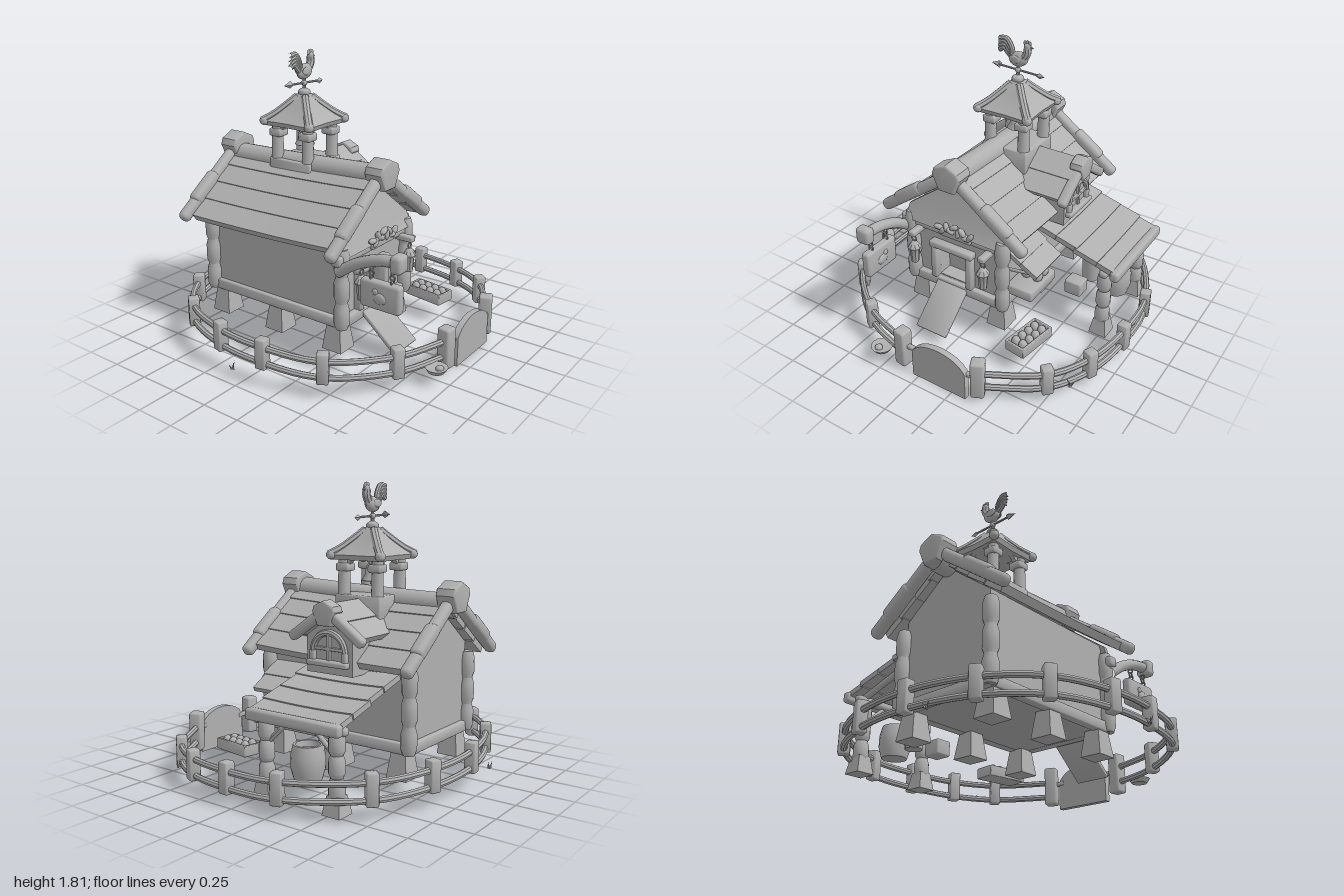
import * as THREE from 'three';
import { toCreasedNormals } from 'three/addons/utils/BufferGeometryUtils.js';
import { RoundedBoxGeometry } from 'three/addons/geometries/RoundedBoxGeometry.js';

const clay = new THREE.MeshStandardMaterial({ color: 0xb0b0b0 });
clay.name = 'clay grey';
const V = (x, y, z) => new THREE.Vector3(x, y, z);
const outline = pts => pts.map(q => new THREE.Vector2(...q));

function add(parent, name, geo, x = 0, y = 0, z = 0) {
  const m = new THREE.Mesh(toCreasedNormals(geo, 0.65), clay);
  m.name = name;
  m.position.set(x, y, z);
  parent.add(m);
  return m;
}
function group(parent, name, x = 0, y = 0, z = 0) {
  const g = new THREE.Group();
  g.name = name;
  g.position.set(x, y, z);
  parent.add(g);
  return g;
}
const block = (p, name, w, h, d, x, y, z, r = 0.012) =>
  add(p, name, new RoundedBoxGeometry(w, h, d, 2, r), x, y, z);
const ball = (p, name, rx, ry, rz, x, y, z) =>
  add(p, name, new THREE.SphereGeometry(1, 14, 10).scale(rx, ry, rz), x, y, z);
const tube = (p, name, pts, r, seg = 16, sides = 8) =>
  add(p, name, new THREE.TubeGeometry(new THREE.CatmullRomCurve3(pts), seg, r, sides));
const lathe = (p, name, pts, sides, x, y, z) =>
  add(p, name, new THREE.LatheGeometry(outline(pts), sides), x, y, z);

// squared beam with rounded edges between two points
function beam(p, name, a, b, w, h, r = 0.02) {
  const geo = new RoundedBoxGeometry(w, h, a.distanceTo(b), 2, Math.min(r, w / 2.1, h / 2.1));
  const o = new THREE.Object3D();
  o.position.copy(a).lerp(b, 0.5);
  o.lookAt(b);
  o.updateMatrix();
  return add(p, name, geo.applyMatrix4(o.matrix));
}

// overlapping roof boards running along z, sagging at mid length and dropping towards the back
function boards(p, name, a, b, n, z0, z1, t, sag = 0, drop = 0) {
  const ang = Math.atan2(b[1] - a[1], b[0] - a[0]);
  const w = Math.hypot(b[0] - a[0], b[1] - a[1]) / n;
  for (let i = 0; i < n; i++) {
    const k = (i + 0.5) / n;
    const geo = new THREE.BoxGeometry(w * 1.1, t, z1 - z0 - (i % 2) * 0.015, 1, 1, 12);
    geo.rotateZ(ang + Math.sign(b[0] - a[0]) * 0.05);
    geo.translate(a[0] + (b[0] - a[0]) * k, a[1] + (b[1] - a[1]) * k, (z0 + z1) / 2);
    const q = geo.attributes.position;
    for (let j = 0; j < q.count; j++) {
      const u = (q.getZ(j) - z0) / (z1 - z0);
      q.setY(j, q.getY(j) - sag * 4 * u * (1 - u) - drop * (1 - u));
    }
    add(p, name, geo);
  }
}

// five-sided gable outline centred on x = 0
const gable = (hw, y0, eave, apex) =>
  new THREE.Shape(outline([[-hw, y0], [hw, y0], [hw, eave], [0, apex], [-hw, eave]]));
const extrude = (shape, depth) => new THREE.ExtrudeGeometry(shape, { depth, bevelEnabled: false, curveSegments: 16 });

// rounded keystone covering the joint of two barge boards
function keystone(p, name, size, depth, x, y, z) {
  const s = new THREE.Shape(outline([[-0.45, -0.8], [0.45, -0.8], [0.85, 0.1], [0.75, 0.4], [0, 0.75], [-0.75, 0.4], [-0.85, 0.1]].map(([u, v]) => [u * size, v * size])));
  const bevel = size * 0.15;
  const geo = new THREE.ExtrudeGeometry(s, { depth: depth - 2 * bevel, bevelSize: bevel, bevelThickness: bevel, bevelSegments: 3 });
  add(p, name, geo.translate(0, 0, bevel - depth / 2), x, y, z);
}

// stacked bulging post
function post(p, name, x, z, y0, y1, r) {
  const pts = [[0, y0]], n = 3, h = (y1 - y0) / n;
  for (let i = 0; i < n; i++) {
    const b = y0 + i * h;
    pts.push([r * 0.75, b], [r, b + h * 0.2], [r, b + h * 0.75], [r * 0.75, b + h]);
  }
  pts.push([0, y1]);
  lathe(p, name, pts, 12, x, 0, z);
}
const foot = (p, x, z, y0, y1, r = 0.085) =>
  add(p, 'footing', new THREE.CylinderGeometry(r * 0.68, r, y1 - y0, 4).rotateY(Math.PI / 4), x, (y0 + y1) / 2, z);

function house(root) {
  const g = group(root, 'house', -0.1, 0, 0);
  add(g, 'houseBody', extrude(gable(0.33, 0.25, 0.82, 1.07), 0.92), 0, 0, -0.68);
  const front = gable(0.33, 0.25, 0.82, 1.07);
  front.holes.push(new THREE.Path(outline([[-0.15, 0.32], [-0.15, 0.55], [0.08, 0.55], [0.08, 0.32]])));
  add(g, 'frontWall', extrude(front, 0.1), 0, 0, 0.24);
  // gable infill flaring forward at its foot
  const flare = extrude(gable(0.37, 0.71, 0.8, 1.08), 0.03);
  const q = flare.attributes.position;
  for (let i = 0; i < q.count; i++) if (q.getY(i) < 0.75) q.setZ(i, q.getZ(i) + 0.05);
  add(g, 'gableInfill', flare, 0, 0, 0.32);
  block(g, 'tieBeam', 0.72, 0.05, 0.07, 0, 0.69, 0.35);
  for (const z of [0.35, -0.68]) block(g, 'sill', 0.7, 0.07, 0.06, 0, 0.28, z);
  for (const s of [-1, 1]) {
    block(g, 'sideSill', 0.06, 0.07, 1.05, s * 0.33, 0.28, -0.16);
    for (const z of [0.36, -0.69]) post(g, 'cornerPost', s * 0.345, z, 0.25, 0.76, 0.048);
    for (const z of [0.3, -0.16, -0.62]) foot(g, s * 0.3, z, 0.09, 0.26, 0.1);
    // main roof
    boards(g, 'roofBoard', [0, 1.14], [s * 0.455, 0.79], 4, -0.74, 0.39, 0.05, 0.008, 0.03);
    for (const z of [0.4, -0.77]) {
      beam(g, 'bargeBoard', V(s * 0.03, 1.12, z), V(s * 0.53, 0.755, z), 0.075, 0.075, 0.03);
      beam(g, 'bargeBoardCap', V(s * 0.22, 0.99, z), V(s * 0.42, 0.845, z), 0.085, 0.085, 0.03);
    }
  }
  tube(g, 'ridgeBeam', [V(0, 1.125, 0.42), V(0, 1.1, -0.18), V(0, 1.085, -0.8)], 0.075, 16, 12);
  for (const z of [0.4, -0.77]) keystone(g, 'ridgeKeystone', 0.1, 0.13, 0.005, 1.145, z);
  // doorway and ramp
  for (const x of [-0.17, 0.1]) block(g, 'doorJamb', 0.045, 0.27, 0.06, x, 0.445, 0.36);
  block(g, 'doorLintel', 0.33, 0.045, 0.07, -0.035, 0.57, 0.36);
  beam(g, 'ramp', V(-0.035, 0.31, 0.34), V(-0.035, 0.07, 0.62), 0.23, 0.03, 0.008);
  // leafy garland over the door
  for (let i = 0; i < 9; i++) {
    const u = i / 4 - 1;
    const leaf = ball(g, 'garlandLeaf', 0.035, 0.018, 0.02, 0.02 + u * 0.12, 0.775 - 0.025 * (i % 2) - 0.03 * Math.abs(u), 0.41);
    leaf.rotation.z = i * 0.9;
  }
  block(g, 'garlandBoard', 0.24, 0.06, 0.03, 0.02, 0.715, 0.4);
  // lanterns
  for (const x of [-0.27, 0.26]) {
    block(g, 'lanternPeg', 0.05, 0.04, 0.13, x, 0.66, 0.415);
    const l = group(g, 'lantern', x, 0, 0.45);
    lathe(l, 'lanternBody', [[0, 0.44], [0.025, 0.44], [0.033, 0.53], [0.045, 0.55], [0.02, 0.59], [0, 0.6]], 8, 0, 0, 0);
    add(l, 'lanternRing', new THREE.TorusGeometry(0.018, 0.005, 6, 12), 0, 0.615, 0);
  }
}

function dormer(root) {
  const g = group(root, 'dormer', 0, 0, -0.25);
  g.rotation.y = Math.PI / 2;
  add(g, 'dormerWall', extrude(gable(0.165, 0.7, 0.92, 1.04), 0.37), 0, 0, 0.05);
  for (const s of [-1, 1]) {
    boards(g, 'dormerRoofBoard', [0, 1.1], [s * 0.23, 0.92], 2, 0.05, 0.44, 0.04);
    beam(g, 'dormerBarge', V(s * 0.02, 1.07, 0.445), V(s * 0.26, 0.9, 0.445), 0.065, 0.06);
  }
  keystone(g, 'dormerKeystone', 0.08, 0.09, 0, 1.065, 0.44);
  // arched window
  add(g, 'windowArch', new THREE.TorusGeometry(0.115, 0.02, 8, 18, Math.PI), 0, 0.83, 0.425);
  for (const s of [-1, 1]) block(g, 'windowJamb', 0.04, 0.08, 0.04, s * 0.115, 0.8, 0.425);
  block(g, 'windowSill', 0.29, 0.035, 0.06, 0, 0.765, 0.43);
  block(g, 'windowMullion', 0.02, 0.17, 0.025, 0, 0.855, 0.425, 0.006);
  block(g, 'windowBar', 0.21, 0.02, 0.025, 0, 0.85, 0.425, 0.006);
}

function belfry(root) {
  const g = group(root, 'belfry', -0.03, 0, -0.24);
  block(g, 'belfryBase', 0.33, 0.17, 0.33, 0, 1.05, 0);
  for (let i = 0; i < 4; i++) {
    const side = group(g, 'belfrySide');
    side.rotation.y = i * Math.PI / 2;
    add(side, 'belfryPost', new THREE.CylinderGeometry(0.034, 0.04, 0.25, 10), 0.123, 1.255, 0.123);
    block(side, 'postCap', 0.09, 0.05, 0.09, 0.118, 1.3, 0.118);
    // arched infill
    const a = new THREE.Shape();
    a.moveTo(-0.1, 1.27);
    a.lineTo(-0.1, 1.39);
    a.lineTo(0.1, 1.39);
    a.lineTo(0.1, 1.27);
    a.absarc(0, 1.27, 0.09, 0, Math.PI, false);
    add(side, 'belfryArch', extrude(a, 0.03), 0, 0, 0.105);
    tube(side, 'hipRidge', [V(0.19, 1.375, 0.19), V(0.135, 1.415, 0.135), V(0.075, 1.475, 0.075), V(0.03, 1.525, 0.03)], 0.026);
    ball(side, 'hipEnd', 0.032, 0.03, 0.032, 0.18, 1.375, 0.18);
  }
  // eight-sided roof with its mid-sides drawn in
  const prof = outline([[0, 1.37], [0.25, 1.345], [0.27, 1.375], [0.205, 1.415], [0.125, 1.475], [0.075, 1.525], [0.05, 1.54], [0, 1.54]]);
  const roof = new THREE.LatheGeometry(prof, 8);
  const q = roof.attributes.position;
  for (let i = 0; i < q.count; i++)
    if (Math.floor(i / prof.length) % 2 === 0) q.setXYZ(i, q.getX(i) * 0.67, q.getY(i), q.getZ(i) * 0.67);
  roof.computeVertexNormals();
  add(g, 'belfryRoof', roof);
  lathe(g, 'bell', [[0, 1.23], [0.055, 1.21], [0.065, 1.215], [0.045, 1.25], [0.038, 1.3], [0.02, 1.325], [0, 1.33]], 16, 0, 0, 0);
  ball(g, 'clapper', 0.014, 0.014, 0.014, 0, 1.2, 0);
  beam(g, 'bellHanger', V(0, 1.32, 0), V(0.001, 1.38, 0), 0.015, 0.015);
  // weathervane
  ball(g, 'finial', 0.04, 0.027, 0.04, 0, 1.55, 0);
  add(g, 'vaneRod', new THREE.CylinderGeometry(0.01, 0.012, 0.12, 8), 0, 1.6, 0);
  ball(g, 'vaneHub', 0.02, 0.018, 0.02, 0, 1.608, 0);
  add(g, 'vaneArrow', new THREE.CylinderGeometry(0.007, 0.007, 0.32, 8).rotateZ(Math.PI / 2 - 0.04), 0, 1.608, 0);
  add(g, 'arrowHead', new THREE.ConeGeometry(0.024, 0.06, 4).rotateZ(Math.PI / 2), -0.165, 1.615, 0);
  add(g, 'arrowTail', new THREE.OctahedronGeometry(0.024).scale(1.5, 0.8, 0.5), 0.155, 1.6, 0);
  const c = group(g, 'rooster');
  ball(c, 'roosterBody', 0.068, 0.048, 0.034, 0.005, 1.68, 0).rotation.z = 0.25;
  tube(c, 'roosterNeck', [V(0.04, 1.69, 0), V(0.065, 1.73, 0), V(0.065, 1.765, 0)], 0.026);
  ball(c, 'roosterHead', 0.025, 0.025, 0.022, 0.067, 1.77, 0);
  add(c, 'roosterBeak', new THREE.ConeGeometry(0.01, 0.03, 6).rotateZ(-Math.PI / 2), 0.1, 1.768, 0);
  for (let i = 0; i < 3; i++) ball(c, 'roosterComb', 0.011, 0.016, 0.007, 0.048 + i * 0.017, 1.797 - Math.abs(i - 1) * 0.004, 0);
  for (let i = 0; i < 4; i++) {
    const k = i / 3;
    tube(c, 'tailFeather', [V(-0.04, 1.68, 0), V(-0.075 + k * 0.03, 1.71 + k * 0.03, 0), V(-0.1 + k * 0.015, 1.735 + k * 0.06, 0), V(-0.135, 1.715 + k * 0.075, 0)], 0.017);
  }
  for (const s of [-1, 1]) ball(c, 'roosterWing', 0.04, 0.026, 0.01, -0.01, 1.685, s * 0.03);
  beam(c, 'roosterLeg', V(0, 1.62, 0), V(0.001, 1.66, 0), 0.015, 0.015);
}

function porch(root) {
  const g = group(root, 'porch');
  boards(g, 'porchRoofBoard', [0.26, 0.705], [0.85, 0.52], 4, -0.63, 0.01, 0.035, 0.008);
  beam(g, 'porchEaveBeam', V(0.835, 0.515, 0.02), V(0.835, 0.515, -0.64), 0.06, 0.07);
  beam(g, 'porchBeam', V(0.75, 0.49, 0), V(0.75, 0.49, -0.62), 0.055, 0.05);
  for (const [z, s] of [[-0.05, -1], [-0.55, 1]]) {
    foot(g, 0.75, z, 0.02, 0.13);
    post(g, 'porchPost', 0.75, z, 0.1, 0.48, 0.048);
    beam(g, 'porchRafter', V(0.24, 0.67, z), V(0.85, 0.48, z), 0.04, 0.04);
    beam(g, 'porchBrace', V(0.75, 0.33, z), V(0.75, 0.47, z + s * 0.15), 0.03, 0.03);
  }
  lathe(g, 'barrel', [[0, 0.16], [0.08, 0.16], [0.1, 0.23], [0.1, 0.3], [0.085, 0.365], [0.07, 0.365], [0.065, 0.33], [0, 0.33]], 18, 0.71, 0, -0.32);
  lathe(g, 'bucket', [[0, 0.18], [0.055, 0.18], [0.068, 0.355], [0.055, 0.355], [0.05, 0.32], [0, 0.32]], 14, 0.52, 0, -0.33);
  block(g, 'smallCrate', 0.12, 0.1, 0.11, 0.5, 0.22, -0.15);
}

function trayOfEggs(root, x, y, z, turn) {
  const g = group(root, 'eggTray', x, y, z);
  g.rotation.y = turn;
  block(g, 'trayFloor', 0.13, 0.02, 0.27, 0, 0.01, 0, 0.006);
  for (const s of [-1, 1]) {
    block(g, 'traySide', 0.018, 0.07, 0.28, s * 0.065, 0.035, 0, 0.006);
    block(g, 'trayEnd', 0.14, 0.07, 0.018, 0, 0.035, s * 0.135, 0.006);
    for (let i = 0; i < 4; i++) ball(g, 'egg', 0.028, 0.034, 0.028, s * 0.028, 0.055, -0.09 + i * 0.06);
  }
}

function eggStand(root) {
  const g = group(root, 'eggStand');
  block(g, 'eggBox', 0.19, 0.07, 0.31, 0.33, 0.375, 0.155);
  for (const s of [-1, 1]) for (let i = 0; i < 2; i++) ball(g, 'standEgg', 0.036, 0.04, 0.036, 0.34 + s * 0.04, 0.44, 0.09 + i * 0.07);
  boards(g, 'awningBoard', [0.23, 0.68], [0.45, 0.54], 2, 0, 0.32, 0.03);
  for (const z of [0.03, 0.29]) beam(g, 'awningBrace', V(0.24, 0.52, z), V(0.41, 0.55, z), 0.022, 0.022);
}

function hangingSign(root) {
  const g = group(root, 'hangingSign', -0.48, 0, 0);
  tube(g, 'signArm', [V(0, 0.63, 0.36), V(0, 0.72, 0.5), V(0, 0.775, 0.65), V(0, 0.79, 0.79)], 0.035, 16, 10);
  block(g, 'armCap', 0.1, 0.11, 0.075, 0, 0.785, 0.775, 0.025);
  block(g, 'armSocket', 0.09, 0.07, 0.07, 0.01, 0.7, 0.36, 0.02);
  block(g, 'signBoard', 0.06, 0.175, 0.27, 0, 0.565, 0.665, 0.02);
  for (const s of [-1, 1]) {
    ball(g, 'carvedHen', 0.015, 0.035, 0.045, s * 0.028, 0.555, 0.67);
    ball(g, 'carvedHenHead', 0.012, 0.02, 0.02, s * 0.028, 0.59, 0.64);
    for (let i = 0; i < 3; i++)
      add(g, 'chainLink', new THREE.TorusGeometry(0.016, 0.005, 6, 12).rotateY(i * Math.PI / 2), 0, 0.665 + i * 0.025, 0.665 + s * 0.07);
  }
}

function fence(root) {
  const g = group(root, 'fence');
  const spots = [[0.41, 0.88], [0.75, 0.66], [0.9, 0.4], [0.96, 0.07], [0.94, -0.29], [0.68, -0.73], [0.33, -0.9], [-0.07, -0.93],
    [-0.47, -0.82], [-0.75, -0.58], [-0.88, -0.22], [-0.89, 0.12], [-0.8, 0.49], [-0.48, 0.78], [-0.13, 0.9]];
  const lift = (x, z) => -0.025 * x - 0.02 * z;
  spots.forEach(([x, z], i) => {
    const gate = i === 0 || i === spots.length - 1;
    const p = gate ? block(g, 'gatePost', 0.085, 0.26, 0.085, x, 0.165, z, 0.015)
      : block(g, 'fencePost', 0.07, 0.19, 0.07, x, 0.185 + lift(x, z), z, 0.01);
    p.rotation.y = Math.atan2(x, z);
  });
  for (const y of [0.22, 0.12])
    tube(g, 'fenceRail', spots.map(([x, z]) => V(x, y + lift(x, z), z)), 0.02, 84, 8);
  // arched gate
  const s = new THREE.Shape();
  s.moveTo(-0.195, 0);
  s.lineTo(0.195, 0);
  s.lineTo(0.195, 0.19);
  s.quadraticCurveTo(0.14, 0.275, 0, 0.28);
  s.quadraticCurveTo(-0.14, 0.275, -0.195, 0.19);
  add(g, 'gate', extrude(s, 0.04), 0.155, 0, 0.89);
  for (const x of [-0.06, 0.36]) block(g, 'gateHinge', 0.1, 0.03, 0.03, x, 0.18, 0.9, 0.008);
}

function yard(root) {
  const g = group(root, 'yard');
  trayOfEggs(g, 0.48, 0.13, 0.42, -0.15);
  lathe(g, 'feedDish', [[0, 0.08], [0.05, 0.08], [0.07, 0.11], [0.055, 0.11], [0, 0.095]], 12, -0.285, 0, 0.925);
  ball(g, 'feedLump', 0.025, 0.02, 0.025, -0.29, 0.11, 0.95);
  for (const [x, z] of [[-0.26, -0.96], [-0.98, -0.04], [0.86, 0.57]])
    for (let i = 0; i < 3; i++) {
      const blade = add(g, 'grassBlade', new THREE.ConeGeometry(0.007, 0.045, 4), x + 0.015 * (i - 1), 0.11, z + 0.012 * (i % 2));
      blade.rotation.z = (1 - i) * 0.5;
    }
}

export function createModel() {
  const root = new THREE.Group();
  root.name = 'henHouse';
  [house, dormer, belfry, porch, eggStand, hangingSign, fence, yard].forEach(build => build(root));
  return root;
}
